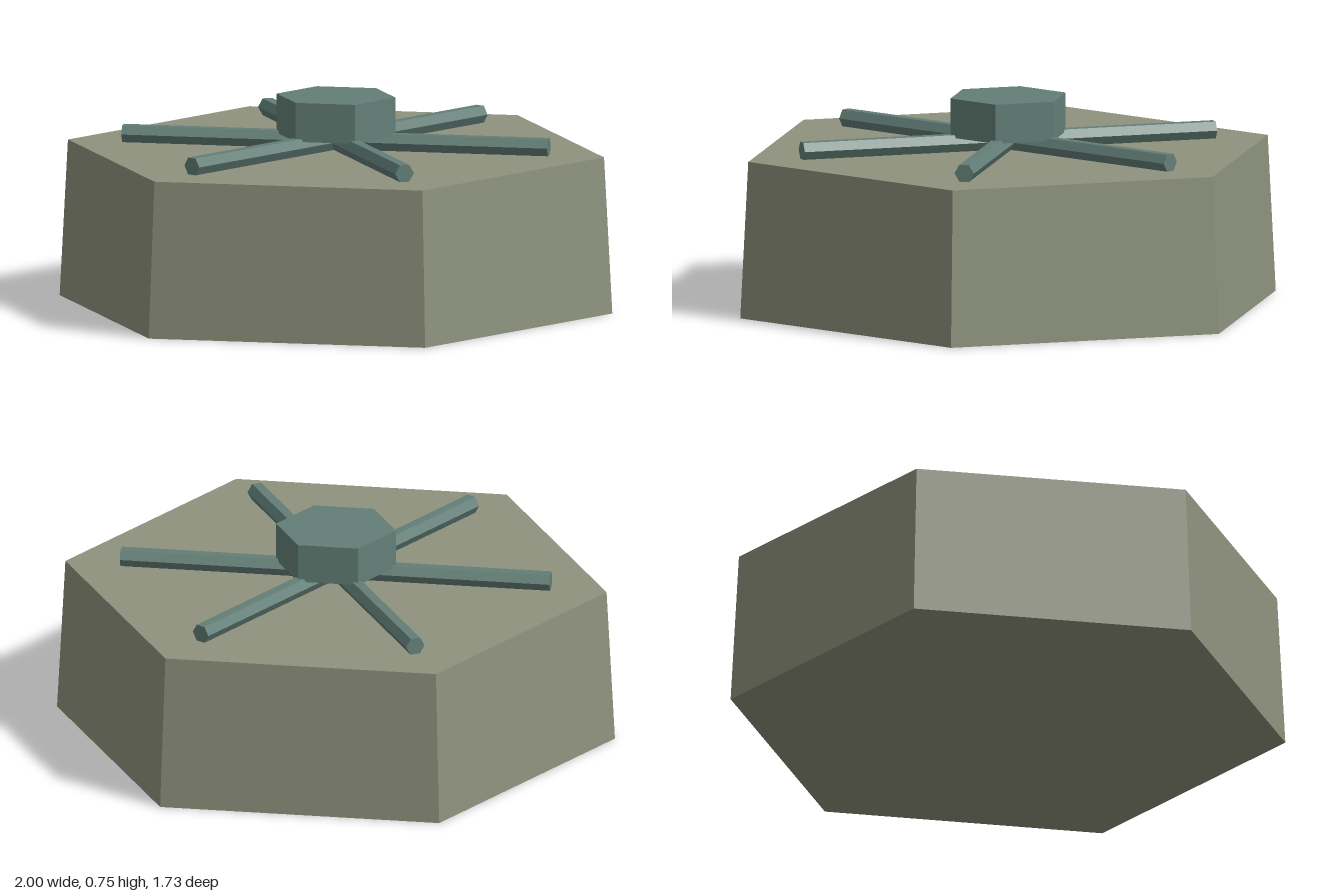
import * as THREE from 'three';

export function createModel() {
  const model = new THREE.Group();
  model.name = 'hexagonalDrum';

  const stone = new THREE.MeshStandardMaterial({ color: 0x8e927d, flatShading: true });
  stone.name = 'olive grey';
  const metal = new THREE.MeshStandardMaterial({ color: 0x637f77, flatShading: true });
  metal.name = 'grey teal';

  // Six-sided prism with corners on the x axis, from y0 to y1
  const hexPrism = (name, rTop, rBottom, y0, y1, material) => {
    const geometry = new THREE.CylinderGeometry(rTop, rBottom, y1 - y0, 6);
    geometry.rotateY(Math.PI / 6);
    const mesh = new THREE.Mesh(geometry, material);
    mesh.position.y = (y0 + y1) / 2;
    mesh.name = name;
    model.add(mesh);
  };

  // Tapered body and central cap
  hexPrism('body', 0.97, 1, 0, 0.56, stone);
  hexPrism('hub', 0.215, 0.215, 0.61, 0.75, metal);

  // Six hexagonal spokes lying flat on the body, meeting under the hub
  const length = 0.77;
  const spoke = new THREE.CylinderGeometry(0.035, 0.035, length, 6);
  spoke.rotateZ(Math.PI / 2);
  spoke.translate(length / 2, 0.59, 0);
  for (let i = 0; i < 6; i++) {
    const mesh = new THREE.Mesh(spoke, metal);
    mesh.rotation.y = (i * Math.PI) / 3;
    mesh.name = `spoke${i + 1}`;
    model.add(mesh);
  }

  return model;
}
